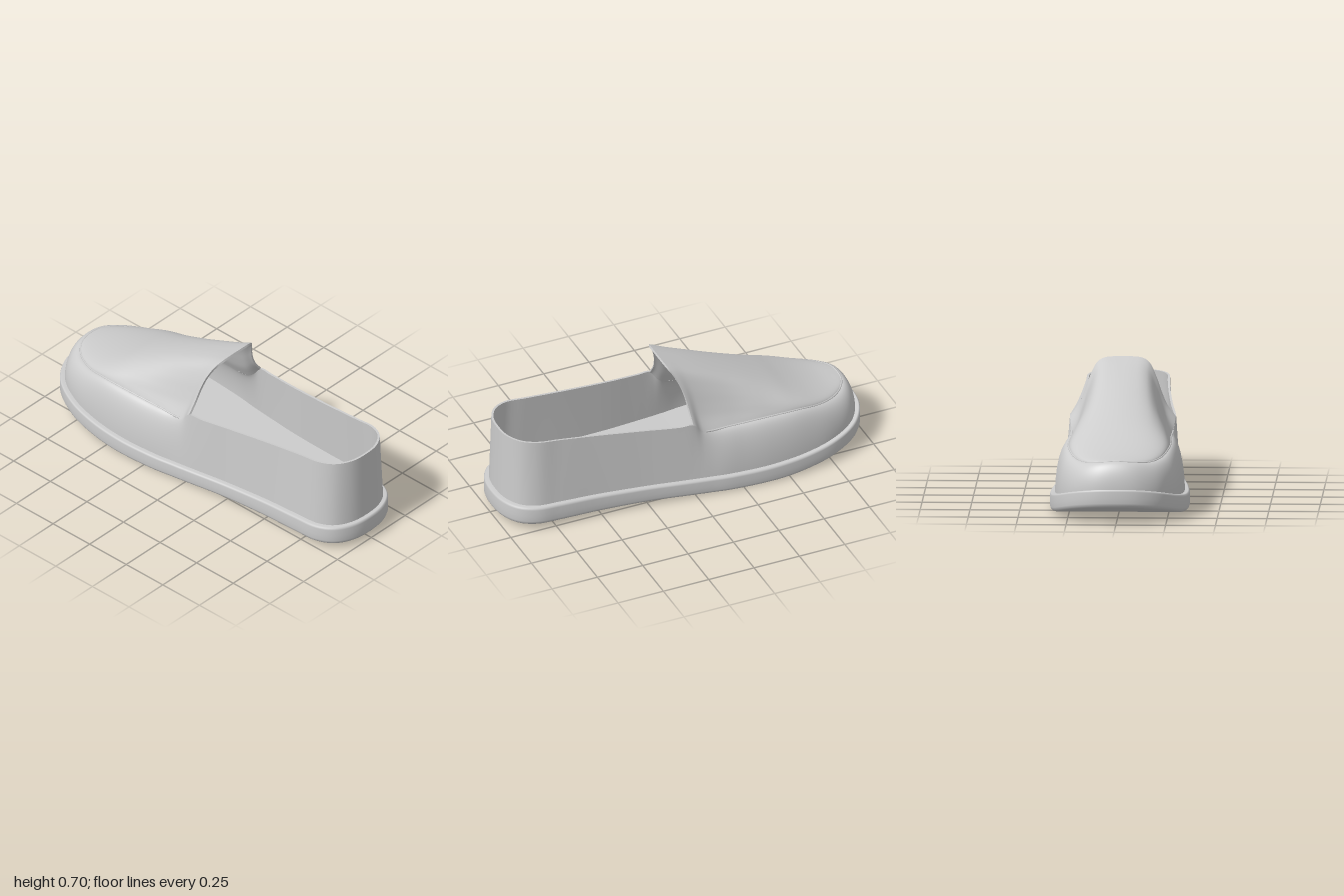
import * as THREE from 'three';

const leather = new THREE.MeshStandardMaterial({ color: 0xcccccc });
leather.name = 'light grey';

// Half outline, heel centre to toe centre: base x, base z, top x, top y, top z, roundness
const stations = [
  [0, 0.972, 0, 0.505, 0.963, 0], [0.1, 0.96, 0.09, 0.505, 0.952, 0],
  [0.18, 0.915, 0.165, 0.503, 0.905, 0], [0.222, 0.84, 0.203, 0.498, 0.83, 0],
  [0.232, 0.72, 0.21, 0.485, 0.71, 0], [0.24, 0.5, 0.222, 0.46, 0.5, 0],
  [0.258, 0.25, 0.243, 0.43, 0.25, 0], [0.278, 0.08, 0.262, 0.412, 0.08, 0.08],
  [0.288, 0, 0.266, 0.407, 0, 0.15], [0.298, -0.08, 0.256, 0.348, -0.06, 0.6],
  [0.315, -0.22, 0.25, 0.335, -0.22, 1], [0.325, -0.4, 0.255, 0.335, -0.4, 1],
  [0.315, -0.6, 0.25, 0.328, -0.58, 1], [0.285, -0.76, 0.215, 0.303, -0.73, 1],
  [0.22, -0.89, 0.155, 0.295, -0.84, 1], [0.12, -0.957, 0.08, 0.304, -0.9, 1],
  [0, -0.975, 0, 0.31, -0.912, 1],
];
const loop = [...stations, ...stations.slice(1, -1).reverse().map(([a, b, c, ...r]) => [-a, b, -c, ...r])];
const ring = (pick) => new THREE.CatmullRomCurve3(loop.map(pick), true);
const baseRing = ring((s) => new THREE.Vector3(s[0], s[5], s[1]));
const topRing = ring((s) => new THREE.Vector3(s[2], s[3], s[4]));

// Smooth height curve through [z, y] points, z ascending
function heightCurve(pts) {
  const slope = (i) => {
    const a = pts[Math.max(i - 1, 0)], b = pts[Math.min(i + 1, pts.length - 1)];
    return (b[1] - a[1]) / (b[0] - a[0]);
  };
  return (z) => {
    let i = 0;
    while (i < pts.length - 2 && z > pts[i + 1][0]) i++;
    const [z0, y0] = pts[i], [z1, y1] = pts[i + 1], h = z1 - z0;
    const t = THREE.MathUtils.clamp((z - z0) / h, 0, 1), t2 = t * t, t3 = t2 * t;
    return y0 * (2 * t3 - 3 * t2 + 1) + y1 * (3 * t2 - 2 * t3)
      + h * (slope(i) * (t3 - 2 * t2 + t) + slope(i + 1) * (t3 - t2));
  };
}
const soleBottom = heightCurve([[-1, 0.088], [-0.85, 0.052], [-0.7, 0.024], [-0.5, 0.003], [-0.35, 0], [-0.2, 0.001], [0, 0.008], [0.2, 0.018], [0.5, 0.026], [1, 0.029]]);
const soleTop = heightCurve([[-1, 0.18], [-0.9, 0.152], [-0.8, 0.13], [-0.6, 0.102], [-0.4, 0.091], [-0.2, 0.09], [0, 0.095], [0.3, 0.109], [0.6, 0.124], [1, 0.135]]);
const ridge = heightCurve([[-0.912, 0.312], [-0.8, 0.331], [-0.7, 0.36], [-0.6, 0.4], [-0.5, 0.448], [-0.3, 0.54], [-0.1, 0.627], [0.08, 0.698]]);

// Surface from rows of points; closed rows wrap around
function grid(rows, closed = false, flip = false) {
  const n = rows[0].length, index = [];
  for (let j = 0; j < rows.length - 1; j++) {
    for (let i = 0; i < (closed ? n : n - 1); i++) {
      const k = (i + 1) % n;
      const a = j * n + i, b = j * n + k, c = a + n, d = b + n;
      if (flip) index.push(a, d, b, a, c, d);
      else index.push(a, b, d, a, d, c);
    }
  }
  const geo = new THREE.BufferGeometry().setFromPoints(rows.flat());
  geo.setIndex(index);
  geo.computeVertexNormals();
  return geo;
}

function addMesh(group, name, geo) {
  const mesh = new THREE.Mesh(geo, leather);
  mesh.name = name;
  group.add(mesh);
}

// Skin with a lining offset inward and one closed edge
function addShell(group, name, rows, closed, edgeRow, flipEdge) {
  const outer = grid(rows, closed), normals = outer.attributes.normal;
  const n = rows[0].length, normal = new THREE.Vector3();
  const inner = rows.map((row, j) => row.map((p, i) =>
    p.clone().addScaledVector(normal.fromBufferAttribute(normals, j * n + i), -0.011)));
  addMesh(group, name, outer);
  addMesh(group, name + 'Lining', grid(inner, closed, true));
  addMesh(group, name + 'Edge', grid([rows[edgeRow], inner[edgeRow]], closed, flipEdge));
}

const SEG = 192;
const around = (fn) => Array.from({ length: SEG }, (_, i) => fn(i / SEG));

// Point on the base outline, pushed outward by an offset, narrowed in x
function outlinePoint(t, offset, height, narrow = 1) {
  const p = baseRing.getPoint(t), d = baseRing.getTangent(t);
  const len = Math.hypot(d.x, d.z);
  const z = p.z + (d.x / len) * offset;
  return new THREE.Vector3((p.x - (d.z / len) * offset) * narrow, height(z), z);
}

export function createModel() {
  const shoe = new THREE.Group();
  shoe.name = 'slipOnShoe';

  // Sole: rounded band, flat underside and ledge
  const sole = new THREE.Group();
  sole.name = 'sole';
  shoe.add(sole);
  const level = (f) => (z) => THREE.MathUtils.lerp(soleBottom(z), soleTop(z), f);
  const band = [[0.006, 0], [0.015, 0.03], [0.021, 0.1], [0.025, 0.22], [0.025, 0.5], [0.025, 0.86], [0.022, 0.95], [0.016, 1], [-0.02, 1]]
    .map(([o, f]) => around((t) => outlinePoint(t, o, level(f))));
  addMesh(sole, 'soleBand', grid(band, true));
  const fill = (offset, height) => [1, 0.66, 0.33, 0].map((k) => around((t) => outlinePoint(t, offset, height, k)));
  addMesh(sole, 'soleUnderside', grid(fill(0.006, soleBottom), true, true));
  addMesh(shoe, 'insole', grid(fill(-0.008, (z) => soleTop(z) + 0.025), true));

  // Side wall: straight at the heel, rounding over toward the toe
  const wall = [];
  for (let j = 0; j <= 16; j++) {
    const s = j / 16, a = s * Math.PI / 2;
    wall.push(around((t) => {
      const b = baseRing.getPoint(t), top = topRing.getPoint(t);
      const round = THREE.MathUtils.clamp(b.y, 0, 1);
      const up = THREE.MathUtils.lerp(s, Math.sin(a), round);
      const inward = THREE.MathUtils.lerp(s, 1 - Math.cos(a), round);
      const y0 = soleTop(b.z) - 0.01;
      return new THREE.Vector3(b.x + (top.x - b.x) * inward, y0 + (top.y - y0) * up, b.z + (top.z - b.z) * inward);
    }));
  }
  addShell(shoe, 'sideWall', wall, true, 16, false);

  // Vamp: flared tongue at the opening, easing into a low dome at the toe
  const tongue = new THREE.CatmullRomCurve3([[1, 0], [0.84, 0.2], [0.75, 0.38], [0.64, 0.65], [0.5, 0.9], [0.37, 0.975], [0.18, 0.998], [0, 1]]
    .map(([x, y]) => new THREE.Vector3(x, y, 0)));
  const vamp = [];
  for (let j = 0; j <= 64; j++) {
    const v = j / 64, edge = topRing.getPoint(0.25 + 0.25 * v);
    const lean = 0.08 * (1 - v) ** 3;
    const height = Math.max(ridge(edge.z + lean) - edge.y, 0);
    const blend = THREE.MathUtils.smoothstep(v, 0, 0.6);
    const row = [];
    for (let i = -28; i <= 28; i++) {
      const q = 1 - Math.abs(i) / 28, p = tongue.getPoint(q), a = q * Math.PI / 2;
      const x = THREE.MathUtils.lerp(p.x, Math.cos(a), blend);
      const y = THREE.MathUtils.lerp(p.y, Math.sin(a), blend);
      row.push(new THREE.Vector3(Math.sign(i) * edge.x * x, edge.y + height * y, edge.z + lean * Math.max(y, 0) ** 2.5));
    }
    vamp.push(row);
  }
  addShell(shoe, 'vamp', vamp, false, 0, true);

  // Raised seam around the vamp
  const seam = [];
  for (let i = 0; i <= 60; i++) seam.push(topRing.getPoint(0.285 + 0.43 * i / 60));
  addMesh(shoe, 'vampSeam', new THREE.TubeGeometry(new THREE.CatmullRomCurve3(seam), 120, 0.005, 8));

  return shoe;
}
